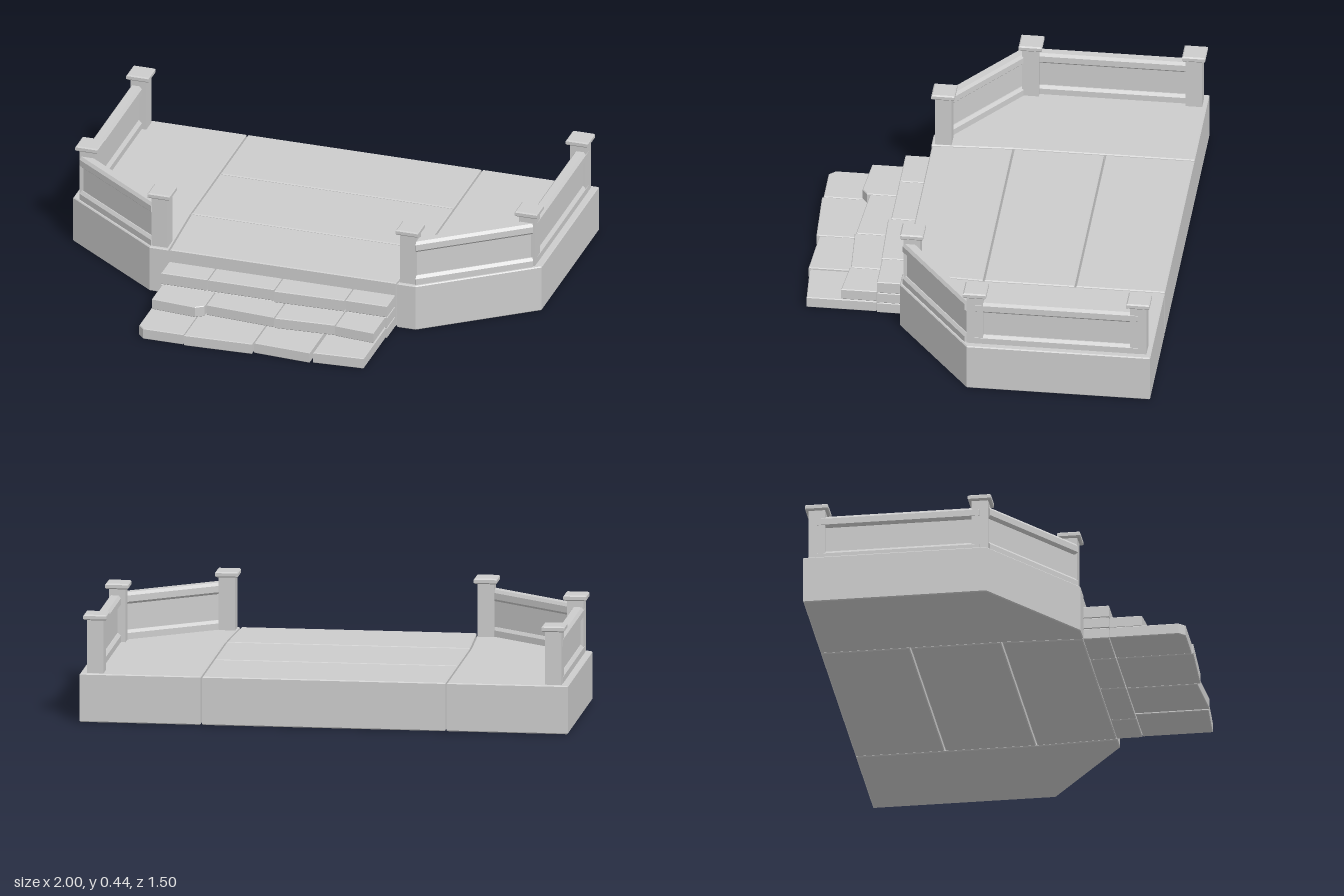
import * as THREE from 'three';

const stone = new THREE.MeshStandardMaterial({ color: 0xcccccc, flatShading: true });

// Horizontal slab from an [x, z] outline, between two heights, with a small chamfer
function slab(name, outline, y0, y1, bevel = 0.004) {
  const shape = new THREE.Shape(outline.map(([x, z]) => new THREE.Vector2(x, -z)));
  const geo = new THREE.ExtrudeGeometry(shape, {
    depth: y1 - y0 - 2 * bevel, bevelEnabled: true, bevelThickness: bevel,
    bevelSize: bevel, bevelOffset: -bevel, bevelSegments: 1,
  });
  geo.rotateX(-Math.PI / 2).translate(0, y0 + bevel, 0);
  const mesh = new THREE.Mesh(geo, stone);
  mesh.name = name;
  return mesh;
}

const square = (x, z, w) => {
  const h = w / 2;
  return [[x - h, z - h], [x + h, z - h], [x + h, z + h], [x - h, z + h]];
};

// Post with an overhanging chamfered cap
function post(x, z) {
  const g = new THREE.Group();
  g.name = 'post';
  g.add(slab('postShaft', square(x, z, 0.068), 0.198, 0.425, 0.002));
  g.add(slab('postCap', square(x, z, 0.095), 0.42, 0.443, 0.005));
  return g;
}

// Wall between two points: chamfered bottom and top rails with a thin panel
function balustrade([ax, az], [bx, bz]) {
  const g = new THREE.Group();
  g.name = 'balustrade';
  const length = Math.hypot(bx - ax, bz - az);
  const bar = (name, profile) => {
    const shape = new THREE.Shape(profile.map(([x, y]) => new THREE.Vector2(x, y)));
    const geo = new THREE.ExtrudeGeometry(shape, { depth: length, bevelEnabled: false });
    const mesh = new THREE.Mesh(geo.translate(0, 0, -length / 2), stone);
    mesh.name = name;
    g.add(mesh);
  };
  bar('bottomRail', [[-0.025, 0.198], [0.025, 0.198], [0.025, 0.226], [0.015, 0.238], [-0.015, 0.238], [-0.025, 0.226]]);
  bar('panel', [[-0.011, 0.23], [0.011, 0.23], [0.011, 0.36], [-0.011, 0.36]]);
  bar('topRail', [[-0.015, 0.345], [0.015, 0.345], [0.025, 0.355], [0.025, 0.381], [0.016, 0.393], [-0.016, 0.393], [-0.025, 0.381], [-0.025, 0.355]]);
  g.position.set((ax + bx) / 2, 0, (az + bz) / 2);
  g.rotation.y = Math.atan2(bx - ax, bz - az);
  return g;
}

export function createModel() {
  const model = new THREE.Group();
  model.name = 'terrace';

  // Central floor slabs
  model.add(
    slab('backFloorSlab', [[-0.498, -0.75], [0.498, -0.75], [0.498, -0.386], [-0.498, -0.386]], 0, 0.2),
    slab('middleFloorSlab', [[-0.498, -0.38], [0.498, -0.38], [0.498, -0.011], [-0.498, -0.011]], 0, 0.2),
    slab('frontFloorSlab', [[-0.498, -0.005], [0.498, -0.005], [0.482, 0.322], [-0.482, 0.322]], 0, 0.2),
  );

  // Mirrored side platforms with their posts and walls
  for (const s of [1, -1]) {
    const side = new THREE.Group();
    side.name = s > 0 ? 'leftSide' : 'rightSide';
    side.add(slab('sidePlatform', [[0.504, -0.75], [1, -0.75], [1, 0], [0.568, 0.325],
      [0.488, 0.325], [0.504, -0.005]].map(([x, z]) => [s * x, z]), 0, 0.2));
    for (const [x, z] of [[0.938, -0.698], [0.938, -0.03], [0.53, 0.277]]) side.add(post(s * x, z));
    side.add(balustrade([s * 0.948, -0.698], [s * 0.948, -0.03]));
    side.add(balustrade([s * 0.953, -0.008], [s * 0.55, 0.294]));
    model.add(side);
  }

  // Steps: each stone is its front edge, listed left to right, run back to a straight line
  const courses = [
    { name: 'bottomStep', y: [0, 0.047], back: 0.432, stones: [
      [[-0.485, 0.715], [-0.46, 0.741], [-0.288, 0.741]],
      [[-0.284, 0.747], [0.003, 0.735]],
      [[0.008, 0.722], [0.25, 0.737]],
      [[0.262, 0.731], [0.474, 0.718]]] },
    { name: 'middleStep', y: [0.047, 0.094], back: 0.432, stones: [
      [[-0.48, 0.565], [-0.29, 0.582], [-0.257, 0.56]],
      [[-0.253, 0.547], [0.042, 0.568]],
      [[0.046, 0.573], [0.298, 0.558]],
      [[0.302, 0.562], [0.47, 0.578]]] },
    { name: 'topStep', y: [0.094, 0.146], back: 0.324, stones: [
      [[-0.485, 0.43], [-0.288, 0.43]],
      [[-0.284, 0.43], [-0.003, 0.43]],
      [[0.001, 0.442], [0.298, 0.433]],
      [[0.302, 0.43], [0.48, 0.43]]] },
  ];
  for (const { name, y, back, stones } of courses) {
    const step = new THREE.Group();
    step.name = name;
    for (const front of stones) {
      const outline = [...front, [front.at(-1)[0], back], [front[0][0], back]];
      step.add(slab('stepStone', outline, y[0], y[1], 0.003));
    }
    model.add(step);
  }

  // Hidden rows of stones supporting the top step
  for (const [y0, y1] of [[0, 0.047], [0.047, 0.094]]) {
    for (const [x0, x1] of [[-0.485, -0.288], [-0.284, -0.003], [0.001, 0.298], [0.302, 0.48]]) {
      model.add(slab('supportStone', [[x0, 0.324], [x1, 0.324], [x1, 0.429], [x0, 0.429]], y0, y1, 0.003));
    }
  }
  return model;
}
